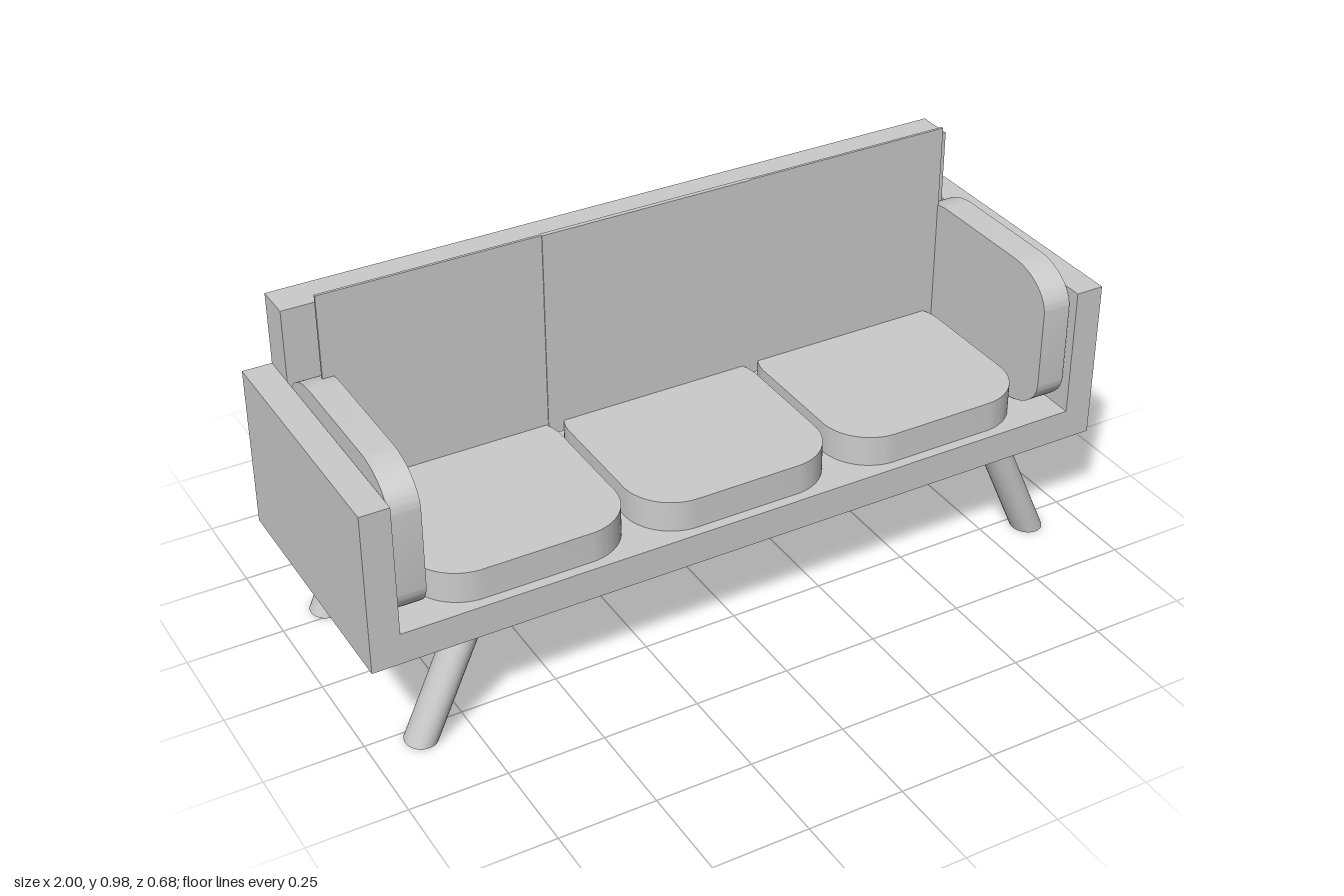
import * as THREE from 'three';
import { toCreasedNormals } from 'three/addons/utils/BufferGeometryUtils.js';

const material = new THREE.MeshStandardMaterial({ color: 0xcccccc });

function add(parent, name, geometry, x = 0, y = 0, z = 0) {
  const mesh = new THREE.Mesh(geometry, material);
  mesh.name = name;
  mesh.position.set(x, y, z);
  parent.add(mesh);
  return mesh;
}

// Flat pad with elliptical corners, lying in xz with its underside at y = 0
function padGeometry(width, depth, thickness, rx, rz) {
  const x = width / 2, z = depth / 2;
  const s = new THREE.Shape();
  s.moveTo(x, -z + rz);
  s.absellipse(x - rx, z - rz, rx, rz, 0, Math.PI / 2);
  s.absellipse(-x + rx, z - rz, rx, rz, Math.PI / 2, Math.PI);
  s.absellipse(-x + rx, -z + rz, rx, rz, Math.PI, Math.PI * 1.5);
  s.absellipse(x - rx, -z + rz, rx, rz, Math.PI * 1.5, Math.PI * 2);
  const g = new THREE.ExtrudeGeometry(s, { depth: thickness, bevelEnabled: false, curveSegments: 12 });
  g.rotateX(-Math.PI / 2);
  return toCreasedNormals(g, 0.6);
}

// Round leg sheared outwards so both ends stay horizontal
function legGeometry(height, lean) {
  const g = new THREE.CylinderGeometry(0.045, 0.045, height, 32);
  g.scale(0.91, 1, 1);
  g.translate(0, height / 2, 0);
  const shear = new THREE.Matrix4().set(
    1, lean / height, 0, 0,
    0, 1, 0, 0,
    0, 0, 1, 0,
    0, 0, 0, 1);
  return g.applyMatrix4(shear);
}

export function createModel() {
  const sofa = new THREE.Group();
  sofa.name = 'sofa';

  // Seat base and both arms as one U-shaped section
  const u = new THREE.Shape([
    [-1, 0.28], [1, 0.28], [1, 0.708], [0.925, 0.708],
    [0.925, 0.363], [-0.925, 0.363], [-0.925, 0.708], [-1, 0.708],
  ].map(([x, y]) => new THREE.Vector2(x, y)));
  add(sofa, 'frame', new THREE.ExtrudeGeometry(u, { depth: 0.684, bevelEnabled: false }), 0, 0, -0.342);

  // Backrest between the arms
  add(sofa, 'backrest', new THREE.BoxGeometry(1.85, 0.535, 0.096), 0, 0.6305, -0.294);

  // Three seat cushions and the thin upright panels behind them
  const seat = padGeometry(0.536, 0.536, 0.082, 0.13, 0.13);
  for (let i = -1; i <= 1; i++) {
    add(sofa, 'seatCushion', seat, i * 0.56 - 0.004, 0.363, 0.047);
    const thickness = i === 0 ? 0.012 : 0.007;
    add(sofa, 'backPanel', new THREE.BoxGeometry(0.572, 0.56, thickness), i * 0.572 - 0.017, 0.695, -0.148);
  }

  // Upright cushions against the inside of the arms
  const armPad = padGeometry(0.396, 0.562, 0.077, 0.097, 0.136);
  armPad.rotateZ(-Math.PI / 2);
  add(sofa, 'rightArmCushion', armPad, -0.924, 0.562, 0.044);
  add(sofa, 'leftArmCushion', armPad, 0.839, 0.562, 0.044);

  // Splayed legs
  for (const sx of [-1, 1]) {
    const leg = legGeometry(0.281, -sx * 0.125);
    for (const sz of [-1, 1]) add(sofa, 'leg', leg, sx * 0.871, 0, sz * 0.286);
  }

  return sofa;
}
